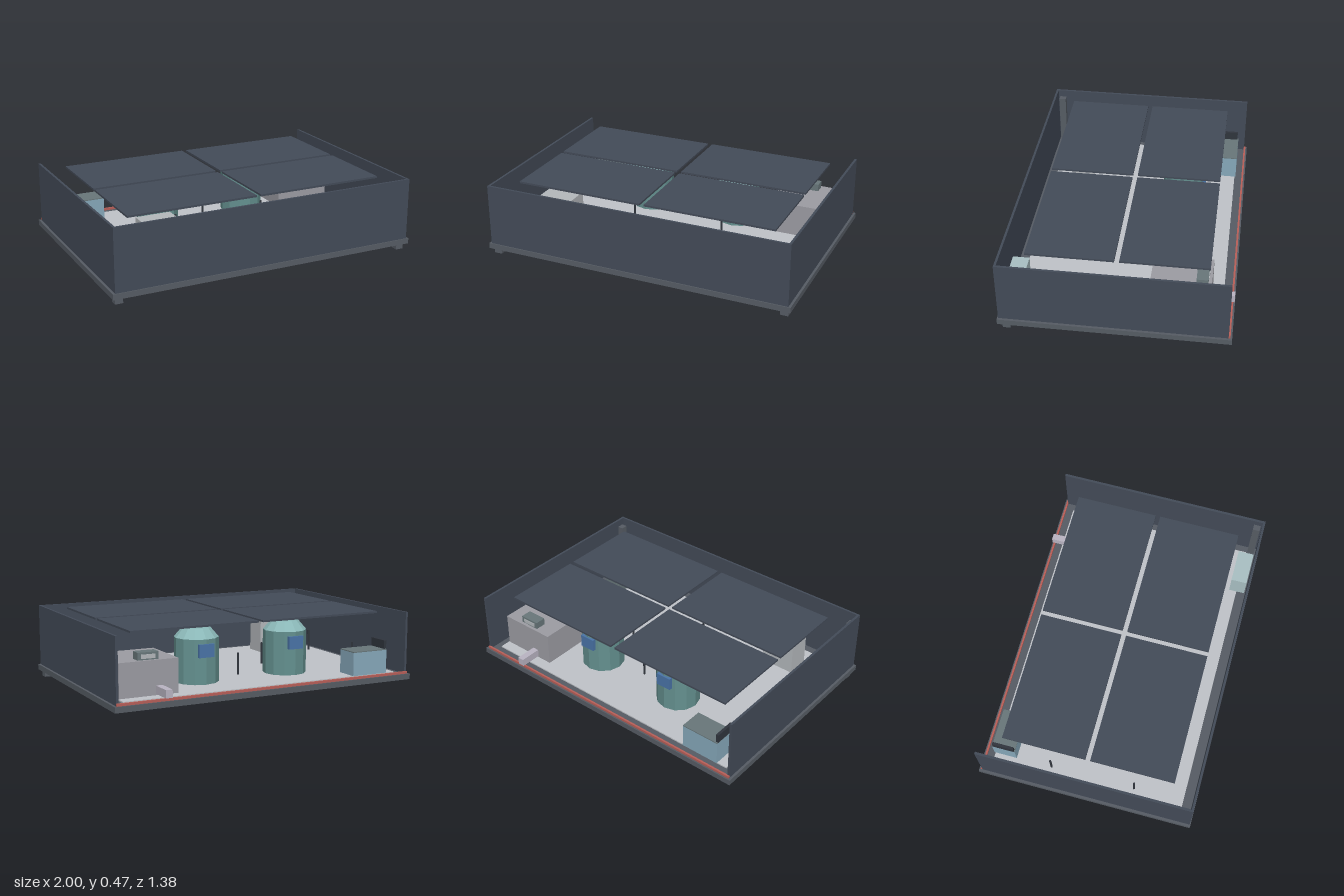
import * as THREE from 'three';

const mat = (color) => new THREE.MeshStandardMaterial({ color, flatShading: true });
const M = {
  wall: mat(0x434b58), slab: mat(0x565c64), floor: mat(0xc0c3c8), red: mat(0xb85f58),
  tank: mat(0x64908f), cap: mat(0x8bb8b8), blue: mat(0x4a74a8), grey: mat(0x9c9ca3),
  pipe: mat(0xb9b4c2), paleBlue: mat(0x86a8ba), cyan: mat(0xa9c0c3), teal: mat(0x68777a),
  dark: mat(0x30353d), cabinet: mat(0xb4b8bc),
};

export function createModel() {
  const root = new THREE.Group();

  // box given by its min and max along each axis
  const box = (name, material, [x0, x1], [y0, y1], [z0, z1], parent = root) => {
    const mesh = new THREE.Mesh(new THREE.BoxGeometry(x1 - x0, y1 - y0, z1 - z0), material);
    mesh.position.set((x0 + x1) / 2, (y0 + y1) / 2, (z0 + z1) / 2);
    mesh.name = name;
    parent.add(mesh);
    return mesh;
  };

  // base and floor
  box('baseSlab', M.slab, [-1, 1], [0.04, 0.075], [-0.69, 0.69]);
  box('floorPlate', M.floor, [-0.925, 0.925], [0.075, 0.083], [-0.62, 0.61]);
  box('backSealStrip', M.red, [-0.985, 0.985], [0.075, 0.09], [-0.68, -0.668]);

  // outer walls, open at the back
  box('frontWall', M.wall, [-0.985, 0.985], [0.075, 0.468], [0.67, 0.684]);
  for (const s of [-1, 1]) {
    const span = (a, b) => [Math.min(s * a, s * b), Math.max(s * a, s * b)];
    box('sideWall', M.wall, span(0.97, 0.985), [0.075, 0.468], [-0.67, 0.67]);
    box('foot', M.slab, span(0.93, 0.98), [0, 0.04], [0.615, 0.662]);
    box('cornerPost', M.slab, span(0.932, 0.97), [0.075, 0.42], [0.615, 0.66]);

    // four roof panels with a cross gap
    for (const [z0, z1] of [[-0.54, -0.018], [0.012, 0.535]]) {
      box('roofPanel', M.wall, span(0.015, 0.843), [0.454, 0.466], [z0, z1]);
    }

    // tank with a tapered cap and a display on its back
    const tank = new THREE.Group();
    tank.name = 'tank';
    const body = new THREE.Mesh(new THREE.CylinderGeometry(0.137, 0.137, 0.275, 12), M.tank);
    body.position.y = 0.22;
    body.name = 'tankBody';
    const cap = new THREE.Mesh(new THREE.CylinderGeometry(0.085, 0.137, 0.06, 12), M.cap);
    cap.position.y = 0.3875;
    cap.name = 'tankCap';
    tank.add(body, cap);
    box('tankDisplay', M.blue, [-0.05, 0.05], [0.25, 0.33], [-0.146, -0.12], tank);
    tank.position.set(s * 0.31, 0, -0.293);
    root.add(tank);
  }

  // machine housing with outlet duct and top vent
  box('machineHousing', M.grey, [0.55, 0.92], [0.083, 0.29], [-0.55, -0.19]);
  box('outletDuct', M.pipe, [0.65, 0.692], [0.092, 0.14], [-0.688, -0.55]);
  box('vent', M.teal, [0.665, 0.795], [0.29, 0.335], [-0.53, -0.46]);
  box('ventFace', M.cabinet, [0.685, 0.775], [0.298, 0.323], [-0.534, -0.529]);

  // control desk with an upright screen
  box('controlDesk', M.paleBlue, [-0.86, -0.612], [0.083, 0.23], [-0.627, -0.48]);
  box('deskTop', M.teal, [-0.86, -0.612], [0.23, 0.236], [-0.627, -0.48]);
  box('deskScreen', M.dark, [-0.862, -0.845], [0.236, 0.29], [-0.62, -0.485]);

  // equipment along the front
  box('frontUnit', M.cyan, [0.625, 0.84], [0.083, 0.25], [0.56, 0.662]);
  box('smallUnit', M.teal, [0.74, 0.865], [0.083, 0.24], [0.355, 0.5]);
  box('tallCabinet', M.cabinet, [-0.72, -0.5], [0.083, 0.38], [0.35, 0.5]);

  // slim floor markers
  for (const [x, z] of [[0, -0.25], [0, 0.365], [-0.31, 0], [0.305, 0], [-0.855, -0.25], [-0.855, 0.29]]) {
    const post = new THREE.Mesh(new THREE.CylinderGeometry(0.007, 0.007, 0.14, 8), M.dark);
    post.position.set(x, 0.153, z);
    post.name = 'slimPost';
    root.add(post);
  }
  return root;
}
